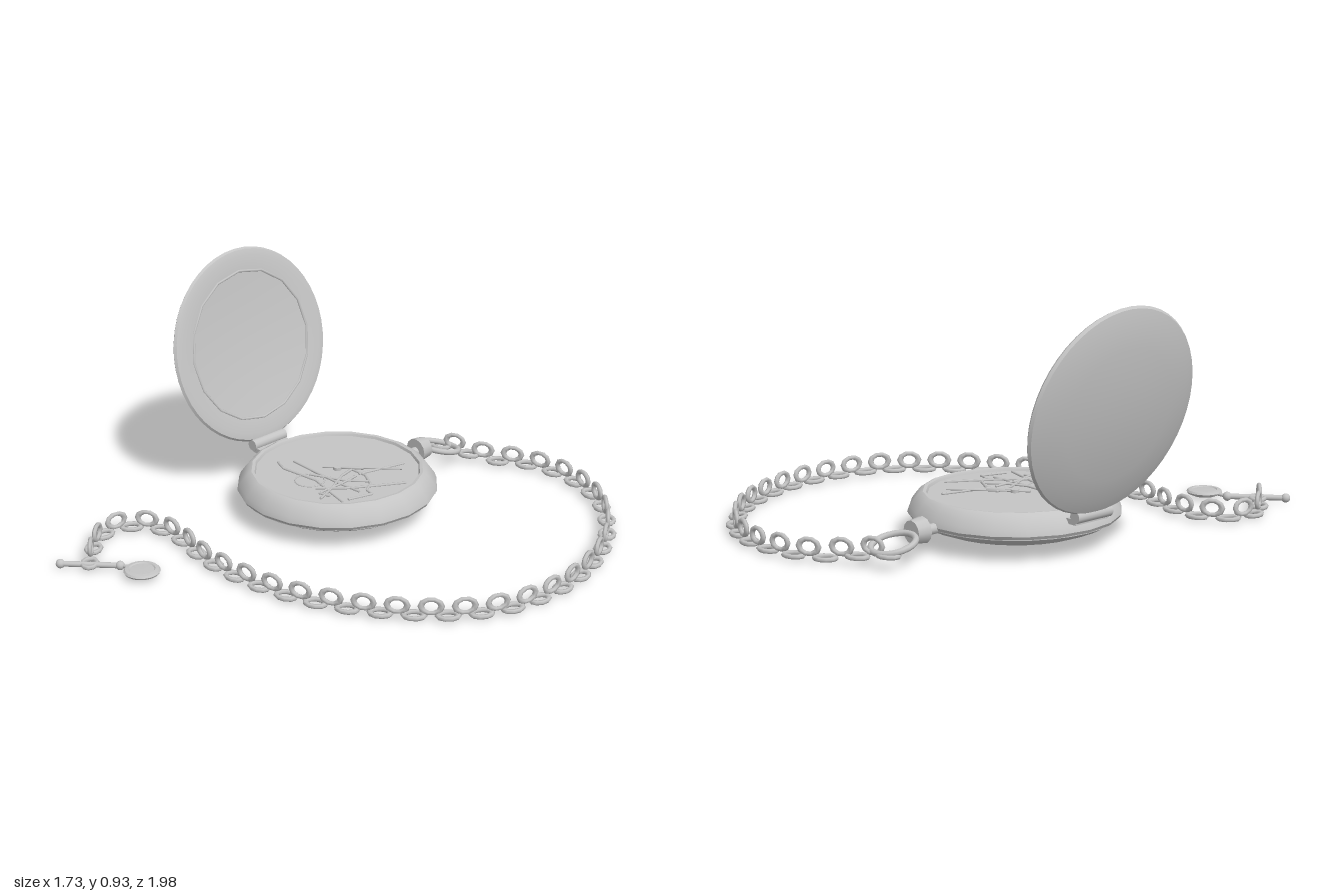
import * as THREE from 'three';
import { toCreasedNormals } from 'three/addons/utils/BufferGeometryUtils.js';

const V = (x, y, z) => new THREE.Vector3(x, y, z);

export function createModel() {
  const model = new THREE.Group();
  model.name = 'pocketWatch';
  const metal = new THREE.MeshStandardMaterial({ color: 0xc4c4c4 });
  metal.name = 'grey metal';
  const cx = -0.27, cz = -0.135;

  const add = (name, geometry, x = 0, y = 0, z = 0, parent = model) => {
    const mesh = new THREE.Mesh(geometry, metal);
    mesh.name = name;
    mesh.position.set(x, y, z);
    parent.add(mesh);
    return mesh;
  };
  const lathe = (pts, sides) => toCreasedNormals(
    new THREE.LatheGeometry(pts.map(p => new THREE.Vector2(p[0], p[1])), sides), 0.6);
  // Cylinder running between two points
  const rod = (name, a, b, r, sides = 8, r2 = r) => {
    const mesh = add(name, new THREE.CylinderGeometry(r2, r, a.distanceTo(b), sides));
    mesh.position.copy(a).add(b).multiplyScalar(0.5);
    mesh.quaternion.setFromUnitVectors(V(0, 1, 0), b.clone().sub(a).normalize());
    return mesh;
  };

  // Case: domed back, narrow waist seam, rounded bezel
  add('caseBack', lathe([[0, 0.005], [0.1, 0.009], [0.2, 0.022], [0.29, 0.045],
    [0.35, 0.068], [0.385, 0.088], [0.385, 0.1], [0, 0.1]], 32), cx, 0, cz);
  add('bezel', lathe([[0.36, 0.088], [0.39, 0.092], [0.397, 0.104], [0.39, 0.125], [0.372, 0.15],
    [0.355, 0.17], [0.34, 0.178], [0.328, 0.176], [0.323, 0.165], [0.32, 0.15]], 20), cx, 0, cz);

  // Dial with its sub-dial, hub and hands
  add('dial', new THREE.CylinderGeometry(0.326, 0.326, 0.01, 40), cx, 0.161, cz);
  const subDial = add('subDialRing', new THREE.TorusGeometry(0.058, 0.003, 6, 24), cx, 0.167, 0.015);
  subDial.rotation.x = Math.PI / 2;
  add('handHub', new THREE.CylinderGeometry(0.017, 0.017, 0.012, 14), cx, 0.172, cz);
  rod('longHand', V(-0.318, 0.172, -0.1), V(-0.085, 0.172, -0.31), 0.004, 6);
  rod('shortHand', V(cx, 0.175, cz), V(-0.19, 0.175, -0.2), 0.006, 6);

  // Cracks over the dial, as fine raised ridges
  const cracks = [
    [[-0.44, -0.06], [-0.3, -0.05], [-0.17, -0.045], [-0.06, -0.05]],
    [[-0.48, -0.01], [-0.42, 0.015], [-0.25, 0], [-0.15, 0.03], [-0.04, 0.06]],
    [[-0.12, -0.36], [-0.15, -0.25], [-0.175, -0.16]],
    [[0.01, -0.235], [-0.06, -0.12], [-0.12, -0.03], [-0.2, 0.05]],
    [[-0.23, -0.19], [-0.21, -0.1], [-0.15, 0.02], [-0.12, 0.1]],
    [[-0.22, -0.17], [-0.15, -0.17], [-0.08, -0.13], [-0.05, -0.08], [-0.01, -0.07], [-0.04, 0.03]],
    [[-0.17, -0.14], [-0.16, -0.05], [-0.16, 0.07], [-0.11, 0.06]],
    [[-0.31, -0.02], [-0.24, -0.05], [-0.17, -0.08], [-0.1, -0.14]],
  ];
  cracks.forEach(line => {
    for (let i = 1; i < line.length; i++) {
      const [a, b] = [line[i - 1], line[i]].map(p => V(p[0], 0.169, p[1]));
      rod('dialCrack', a, b, 0.005, 6);
    }
  });

  // Open lid, leaning back from the hinge
  const lid = new THREE.Group();
  lid.name = 'lid';
  lid.position.set(-0.764, 0.555, cz);
  lid.rotation.z = THREE.MathUtils.degToRad(103);
  model.add(lid);
  add('lidShell', lathe([[0, 0.012], [0.18, 0.008], [0.3, -0.002], [0.36, -0.008], [0.385, -0.004],
    [0.392, 0.006], [0.385, 0.016], [0.34, 0.031], [0.25, 0.047], [0.13, 0.059], [0, 0.063]], 48), 0, 0, 0, lid);
  const rim = add('lidInnerRing', new THREE.TorusGeometry(0.302, 0.006, 6, 16), 0, -0.001, 0, lid);
  rim.rotation.x = Math.PI / 2;
  rod('hingeBarrel', V(-0.675, 0.165, cz - 0.085), V(-0.675, 0.165, cz + 0.085), 0.023, 14);
  add('hingeLeaf', new THREE.BoxGeometry(0.06, 0.02, 0.16), -0.645, 0.145, cz);

  // Stem, crown and tilted bow ring
  rod('stem', V(cx, 0.1, -0.5), V(cx, 0.1, -0.6), 0.02, 12);
  rod('crown', V(cx, 0.105, -0.578), V(cx, 0.105, -0.632), 0.05, 12, 0.043);
  const bow = add('bowRing', new THREE.TorusGeometry(0.082, 0.012, 8, 24), cx, 0.08, -0.715);
  bow.rotation.x = Math.PI / 2 - 0.25;

  // Chain: flat and upright links alternating along a curve
  const path = new THREE.CatmullRomCurve3([
    [-0.31, -0.77], [-0.15, -0.84], [0, -0.93], [0.2, -0.96], [0.43, -0.89], [0.62, -0.73], [0.76, -0.5],
    [0.825, -0.24], [0.8, 0.02], [0.7, 0.2], [0.5, 0.38], [0.22, 0.52], [-0.06, 0.57], [-0.28, 0.56],
    [-0.45, 0.52], [-0.6, 0.525], [-0.69, 0.6], [-0.7, 0.7], [-0.63, 0.81], [-0.55, 0.89],
  ].map(p => V(p[0], 0, p[1])));
  const linkGeometry = new THREE.TorusGeometry(0.028, 0.009, 6, 10);
  linkGeometry.scale(1.35, 1, 1);
  const count = 2 * Math.round(path.getLength() / 0.122);
  for (let i = 0; i <= count; i++) {
    const t = i / count, p = path.getPointAt(t), d = path.getTangentAt(t);
    const flat = i % 2 === 0;
    const lift = Math.max(0, 0.035 - i * 0.009);
    const link = add(flat ? 'flatLink' : 'uprightLink', linkGeometry, p.x, (flat ? 0.02 : 0.058) + lift, p.z);
    link.rotation.order = 'YXZ';
    link.rotation.set(flat ? Math.PI / 2 : 0, Math.atan2(-d.z, d.x), 0);
  }

  // T-bar with ball ends, and a small round fob
  const barA = V(-0.625, 0.02, 0.97), barB = V(-0.455, 0.02, 0.82);
  rod('tBar', barA, barB, 0.011, 10);
  [barA, barB].forEach(p => add('tBarEnd', new THREE.SphereGeometry(0.018, 12, 8), p.x, p.y, p.z));
  rod('fobLoop', barB, V(-0.41, 0.025, 0.805), 0.007, 8);
  add('fob', lathe([[0, 0.005], [0.045, 0.011], [0.066, 0.02], [0.07, 0.027], [0.064, 0.034],
    [0.05, 0.036], [0.046, 0.032], [0, 0.032]], 24), -0.357, 0, 0.795);

  return model;
}
